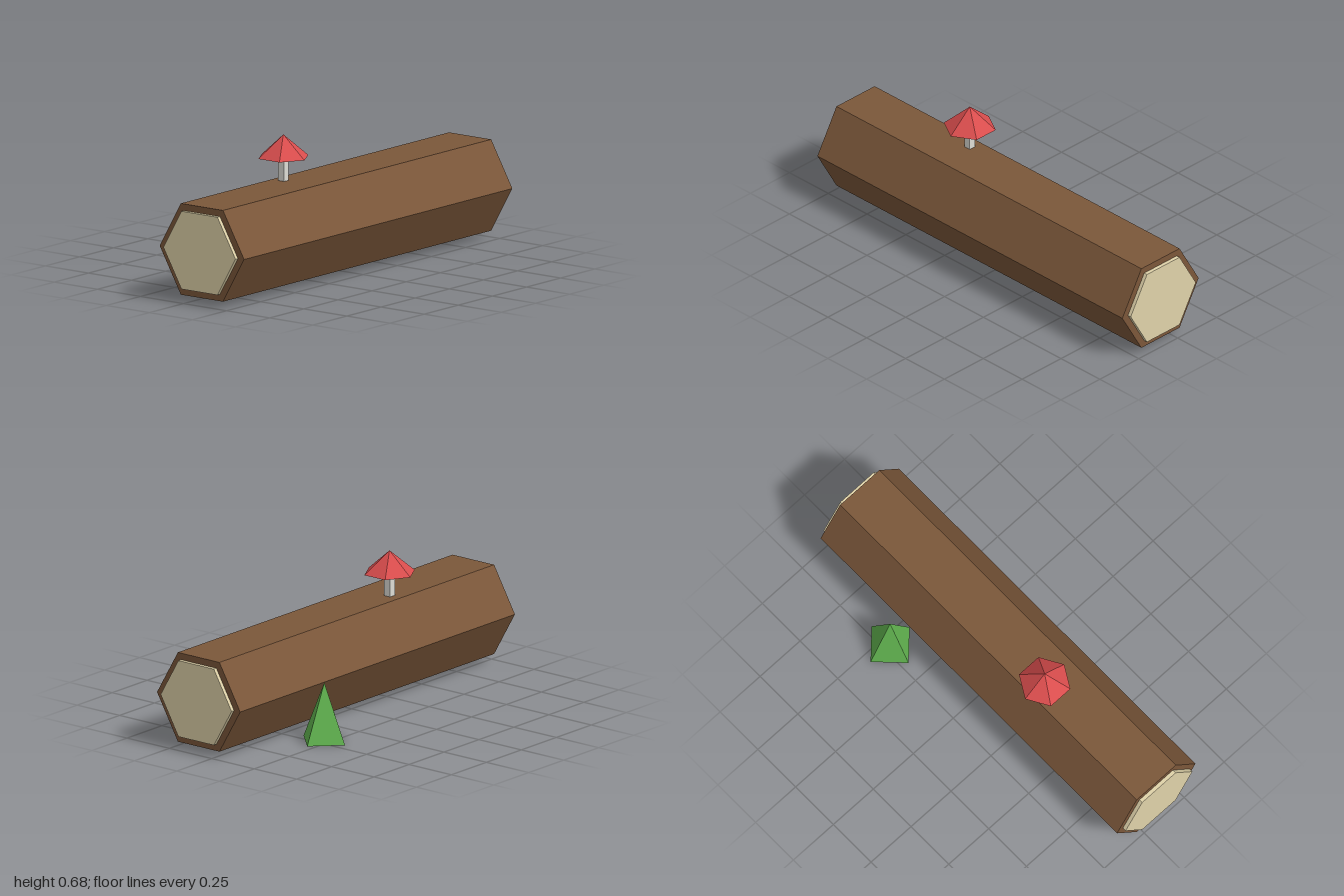
import * as THREE from 'three';

export function createModel() {
  const root = new THREE.Group();
  root.name = 'logWithMushroom';

  const material = (name, color) => {
    const m = new THREE.MeshStandardMaterial({ color, flatShading: true });
    m.name = name;
    return m;
  };
  const bark = material('bark brown', 0x7b573a);
  const wood = material('cut wood cream', 0xdfd2a9);
  const stemGrey = material('stem pale grey', 0xdeddd6);
  const red = material('mushroom red', 0xd94d4d);
  const green = material('leaf green', 0x5fb04e);

  const add = (name, geometry, mat, x, y, z) => {
    const mesh = new THREE.Mesh(geometry, mat);
    mesh.name = name;
    mesh.position.set(x, y, z);
    root.add(mesh);
    return mesh;
  };

  // Hexagonal prism lying along x
  const hexPrism = (radius, length) =>
    new THREE.CylinderGeometry(radius, radius, length, 6).rotateZ(Math.PI / 2);

  // Log with a raised disc of cut wood at each end
  const logY = 0.247, logZ = 0.0925;
  add('log', hexPrism(0.245, 1.964), bark, 0, logY, logZ);
  for (const side of [-1, 1]) {
    add(side > 0 ? 'leftCutEnd' : 'rightCutEnd', hexPrism(0.209, 0.03), wood, side * 0.985, logY, logZ);
  }

  // Mushroom standing on the log
  const mx = -0.308, mz = 0.031;
  add('mushroomStem', new THREE.BoxGeometry(0.035, 0.11, 0.035), stemGrey, mx, 0.516, mz);
  add('mushroomCap', new THREE.ConeGeometry(0.122, 0.105, 6), red, mx, 0.6225, mz);

  // Four-sided plant on the ground behind the log
  add('plant', new THREE.ConeGeometry(0.122, 0.275, 4), green, 0.456, 0.1375, -0.2145);

  return root;
}
